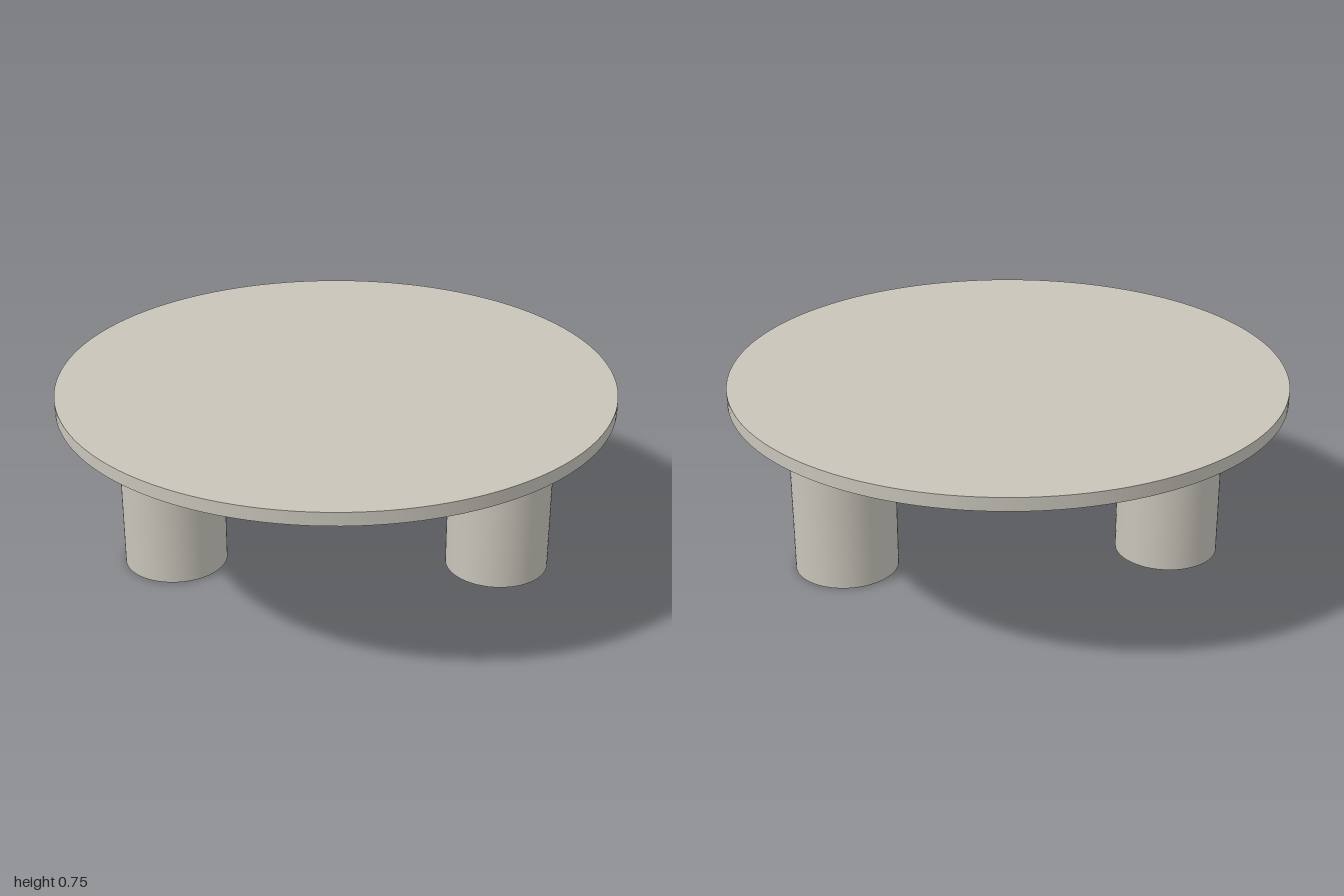
import * as THREE from 'three';

export function createModel() {
  const group = new THREE.Group();
  const stone = new THREE.MeshStandardMaterial({ color: 0xc8c4ba });
  stone.name = 'warm grey stone';

  // Upright cylinder standing on height y0
  const column = (name, radius, y0, y1, x, sides) => {
    const mesh = new THREE.Mesh(new THREE.CylinderGeometry(radius, radius, y1 - y0, sides), stone);
    mesh.name = name;
    mesh.position.set(x, (y0 + y1) / 2, 0);
    group.add(mesh);
  };

  const underside = 0.697;

  // Round table top
  column('tableTop', 1, underside, 0.745, 0, 128);

  // Two thick round legs, mirrored left and right
  for (const [name, side] of [['leftLeg', 1], ['rightLeg', -1]]) {
    column(name, 0.192, 0, underside, side * 0.605, 64);
  }

  return group;
}
